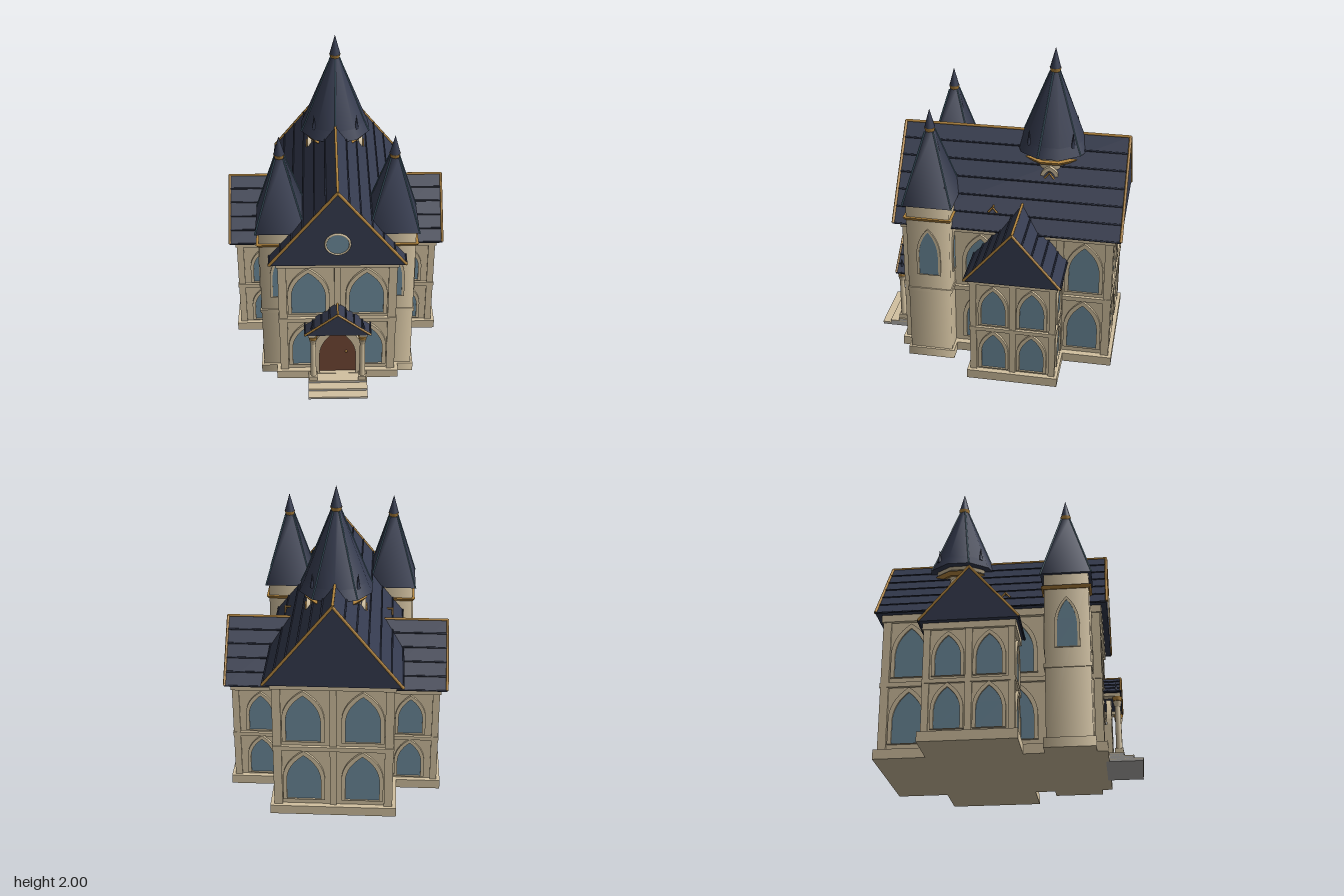
import * as THREE from 'three';

const paint = (name, color) => {
  const m = new THREE.MeshStandardMaterial({ color });
  m.name = name;
  return m;
};

export function createModel() {
  const stone = paint('cream stone', 0xd2c1a0);
  const slate = paint('slate roof', 0x353b4f);
  const rib = paint('dark slate rib', 0x252a3a);
  const gold = paint('gold trim', 0xb5873f);
  const glass = paint('window glass', 0x6c8a9b);
  const wood = paint('door wood', 0x6f4534);
  const grey = paint('step stone', 0xb4b2ae);
  const hipBlue = paint('hip lead', 0x55788a);

  const model = new THREE.Group();
  model.name = 'mansion';

  const add = (parent, name, geo, mat, x = 0, y = 0, z = 0) => {
    const m = new THREE.Mesh(geo, mat);
    m.name = name;
    m.position.set(x, y, z);
    parent.add(m);
    return m;
  };
  // Box given by its extents on each axis
  const block = (parent, name, mat, x0, x1, y0, y1, z0, z1) =>
    add(parent, name, new THREE.BoxGeometry(x1 - x0, y1 - y0, z1 - z0), mat,
      (x0 + x1) / 2, (y0 + y1) / 2, (z0 + z1) / 2);
  // Thin rod between two points
  const rod = (parent, name, mat, a, b, r) => {
    const A = new THREE.Vector3(...a), B = new THREE.Vector3(...b);
    const m = add(parent, name, new THREE.CylinderGeometry(r, r, A.distanceTo(B), 6), mat);
    m.position.copy(A).add(B).multiplyScalar(0.5);
    m.quaternion.setFromUnitVectors(new THREE.Vector3(0, 1, 0), B.sub(A).normalize());
    return m;
  };

  // Pointed arch outline standing on y = y0
  const trace = (s, a, h, y0 = 0) => {
    const spring = h * 0.45;
    s.moveTo(-a, y0);
    s.lineTo(a, y0);
    s.lineTo(a, spring);
    s.quadraticCurveTo(a * 0.95, h * 0.78, 0, h);
    s.quadraticCurveTo(-a * 0.95, h * 0.78, -a, spring);
    s.lineTo(-a, y0);
    return s;
  };
  const extrude = (s, depth) =>
    new THREE.ExtrudeGeometry(s, { depth, bevelEnabled: false, curveSegments: 8 });
  // Framed arched opening, facing outward along its local z
  const arch = (parent, name, w, h, x, y, z, turn = 0, fill = glass, border = 0.024, depth = 0.016) => {
    const g = new THREE.Group();
    g.name = name;
    const frame = trace(new THREE.Shape(), w / 2 + border, h + border * 1.3, -0.003);
    frame.holes.push(trace(new THREE.Path(), w / 2, h));
    add(g, 'archFrame', extrude(frame, depth), stone);
    add(g, 'archPanel', extrude(trace(new THREE.Shape(), w / 2, h), 0.005), fill);
    g.position.set(x, y, z);
    g.rotation.y = turn;
    parent.add(g);
    return g;
  };

  // Gabled roof with ridge along local z, ribs along both slopes and gold edges
  const gable = (name, half, rise, len, ribs, r, bothEnds) => {
    const g = new THREE.Group();
    g.name = name;
    const s = new THREE.Shape([[-half, 0], [half, 0], [0, rise]].map(p => new THREE.Vector2(...p)));
    add(g, 'roofBody', extrude(s, len), slate, 0, 0, -len / 2);
    const e = len / 2;
    rod(g, 'ridgeTrim', gold, [0, rise, -e], [0, rise, e], r);
    for (const side of [-1, 1]) {
      for (let i = 0; i < ribs; i++) {
        const t = i / ribs;
        const x = side * half * (1 - t), y = rise * t;
        rod(g, 'roofRib', rib, [x, y + 0.002, -e], [x, y + 0.002, e], 0.006);
      }
      for (const end of bothEnds ? [-e, e] : [e])
        rod(g, 'gableTrim', gold, [side * half, 0.004, end], [0, rise, end], r);
    }
    model.add(g);
    return g;
  };

  // Main hall: walls, plinth, bands and pilasters
  const hall = new THREE.Group();
  hall.name = 'mainHall';
  model.add(hall);
  block(hall, 'hallWalls', stone, -0.35, 0.35, 0, 0.94, -0.735, 0.565);
  block(hall, 'hallPlinth', stone, -0.39, 0.39, 0, 0.06, -0.77, 0.6);
  block(hall, 'hallBand', stone, -0.37, 0.37, 0.455, 0.485, -0.755, 0.585);
  block(hall, 'hallCornice', stone, -0.375, 0.375, 0.885, 0.94, -0.76, 0.59);
  for (const sx of [-1, 1])
    for (const z of [-0.725, -0.42, 0.555])
      block(hall, 'hallPilaster', stone, sx * 0.34 - 0.026, sx * 0.34 + 0.026, 0, 0.92, z - 0.025, z + 0.025);
  for (const z of [-0.735, 0.565])
    block(hall, 'centrePilaster', stone, -0.02, 0.02, 0, 0.92, z - 0.012, z + 0.012);
  for (const y of [0.1, 0.52]) {
    for (const sx of [-1, 1]) {
      arch(hall, 'frontWindow', 0.21, 0.32, sx * 0.18, y, 0.565);
      arch(hall, 'backWindow', 0.21, 0.32, sx * 0.18, y, -0.735, Math.PI);
      for (const z of [-0.574, 0.08])
        arch(hall, 'sideWindow', 0.19, 0.32, sx * 0.35, y, z, sx * Math.PI / 2);
    }
  }
  gable('mainRoof', 0.415, 0.52, 1.42, 6, 0.009, true).position.set(0, 0.93, -0.085);

  // Round gable window
  add(model, 'roundGlass', new THREE.CylinderGeometry(0.07, 0.07, 0.008, 24).rotateX(Math.PI / 2), glass, 0, 1.09, 0.628);
  add(model, 'roundFrame', new THREE.TorusGeometry(0.073, 0.007, 6, 28), stone, 0, 1.09, 0.63);

  // Side wings
  for (const sx of [-1, 1]) {
    const wing = new THREE.Group();
    wing.name = sx > 0 ? 'leftWing' : 'rightWing';
    wing.rotation.y = sx * Math.PI / 2;
    wing.position.z = -0.172;
    model.add(wing);
    // Local z runs outward from the hall
    block(wing, 'wingWalls', stone, -0.255, 0.255, 0, 0.74, 0.3, 0.635);
    block(wing, 'wingPlinth', stone, -0.285, 0.285, 0, 0.06, 0.3, 0.67);
    block(wing, 'wingBand', stone, -0.272, 0.272, 0.355, 0.38, 0.3, 0.652);
    block(wing, 'wingCornice', stone, -0.275, 0.275, 0.69, 0.74, 0.3, 0.655);
    for (const x of [-0.247, 0, 0.247])
      block(wing, 'wingPilaster', stone, x - 0.02, x + 0.02, 0, 0.72, 0.605, 0.648);
    for (const y of [0.08, 0.4]) {
      for (const k of [-1, 1]) {
        arch(wing, 'wingWindow', 0.15, 0.25, k * 0.12, y, 0.635, 0, glass, 0.02);
        arch(wing, 'wingEndWindow', 0.15, 0.25, k * 0.255, y, 0.47, k * Math.PI / 2, glass, 0.02);
      }
    }
    const roof = gable('wingRoof', 0.295, 0.345, 0.48, 5, 0.008, false);
    roof.rotation.y = sx * Math.PI / 2;
    roof.position.set(sx * 0.45, 0.73, -0.172);
    // Small gold crest on the main slope
    for (const k of [-1, 1])
      rod(model, 'roofCrest', gold, [sx * 0.345, 1.062, 0.005], [sx * 0.345, 1.028, 0.005 + k * 0.028], 0.006);
    rod(model, 'roofCrestStem', gold, [sx * 0.345, 1.058, 0.005], [sx * 0.31, 1.058, 0.005], 0.006);
  }

  // Four-sided, softly shaded tower section
  const square = (half0, half1, h) =>
    new THREE.CylinderGeometry(half1 * Math.SQRT2, half0 * Math.SQRT2, h, 4, 1, false, Math.PI / 4);

  // Collar and pointed cap on every spire
  const cap = (parent, y, r, h) => {
    add(parent, 'spireCollar', new THREE.CylinderGeometry(r, r * 0.8, 0.025, 12), gold, 0, y, 0);
    add(parent, 'spireTip', new THREE.ConeGeometry(r * 0.95, h, 12), slate, 0, y + 0.0125 + h / 2, 0);
  };

  // Front towers
  for (const sx of [-1, 1]) {
    const t = new THREE.Group();
    t.name = sx > 0 ? 'leftTower' : 'rightTower';
    t.position.set(sx * 0.34, 0, 0.387);
    model.add(t);
    const tier = (name, mat, a, b, y0, y1) =>
      add(t, name, square(a, b, y1 - y0), mat, 0, (y0 + y1) / 2, 0);
    tier('towerBody', stone, 0.135, 0.135, 0, 1.1);
    tier('towerPlinth', stone, 0.15, 0.15, 0, 0.06);
    tier('towerBand', stone, 0.142, 0.142, 0.49, 0.515);
    tier('towerGoldBand', gold, 0.14, 0.152, 1.0, 1.02);
    tier('towerRoof', slate, 0.155, 0.026, 1.1, 1.55);
    for (const [dx, dz, turn] of [[0, 1, 0], [0, -1, Math.PI], [sx, 0, sx * Math.PI / 2]])
      arch(t, 'towerWindow', 0.12, 0.305, dx * 0.135, 0.62, dz * 0.135, turn, glass, 0.016, 0.01);
    for (const i of [-1, 1])
      for (const k of [-1, 1]) {
        rod(t, 'towerHip', hipBlue, [i * 0.155, 1.1, k * 0.155], [i * 0.026, 1.55, k * 0.026], 0.005);
        add(t, 'hipSpike', new THREE.ConeGeometry(0.013, 0.12, 8), slate, i * 0.118, 1.18, k * 0.108);
      }
    cap(t, 1.56, 0.034, 0.118);
  }

  // Great spire over the ridge
  const spire = new THREE.Group();
  spire.name = 'greatSpire';
  spire.position.z = -0.32;
  model.add(spire);
  const ring = (name, mat, r0, r1, y0, y1) =>
    add(spire, name, new THREE.CylinderGeometry(r1, r0, y1 - y0, 10), mat, 0, (y0 + y1) / 2, 0);
  ring('spireDrum', stone, 0.15, 0.165, 1.15, 1.36);
  ring('spireGoldBand', gold, 0.175, 0.195, 1.295, 1.318);
  ring('spireUpperBand', stone, 0.175, 0.185, 1.335, 1.36);
  ring('spireEave', slate, 0.23, 0.2, 1.355, 1.42);
  ring('spireRoof', slate, 0.2, 0.03, 1.42, 1.85);
  for (let i = 0; i < 5; i++) {
    const a = i * Math.PI * 0.4, s = Math.sin(a), c = Math.cos(a);
    rod(spire, 'spireHip', hipBlue, [s * 0.23, 1.358, c * 0.23], [s * 0.2, 1.42, c * 0.2], 0.005);
    rod(spire, 'spireHip', hipBlue, [s * 0.2, 1.42, c * 0.2], [s * 0.03, 1.85, c * 0.03], 0.005);
  }
  for (const i of [-1, 1]) {
    for (const k of [-1, 1])
      add(spire, 'spireSpike', new THREE.ConeGeometry(0.013, 0.1, 8), slate, i * 0.136, 1.46, k * 0.136);
    // Small arched opening low on each side of the drum
    arch(spire, 'spireWindow', 0.07, 0.08, i * 0.155, 1.18, 0, i * Math.PI / 2, glass, 0.02, 0.025);
    for (const k of [-1, 1])
      rod(spire, 'spireWindowTrim', gold, [i * 0.185, 1.25, 0], [i * 0.185, 1.19, k * 0.045], 0.006);
  }
  cap(spire, 1.86, 0.036, 0.128);

  // Porch: roof, columns, door and steps
  gable('porchRoof', 0.205, 0.165, 0.14, 4, 0.007, false).position.set(0, 0.43, 0.615);
  arch(model, 'frontDoor', 0.23, 0.355, 0, 0.06, 0.592, 0, wood, 0.045, 0.03);
  block(model, 'doorBacking', stone, -0.16, 0.16, 0.03, 0.24, 0.56, 0.592);
  add(model, 'doorKnob', new THREE.SphereGeometry(0.008, 10, 8), gold, 0.055, 0.225, 0.6);
  for (const sx of [-1, 1]) {
    const col = new THREE.Group();
    col.name = 'porchColumn';
    col.position.set(sx * 0.155, 0, 0.66);
    model.add(col);
    add(col, 'columnShaft', new THREE.CylinderGeometry(0.016, 0.019, 0.34, 12), stone, 0, 0.23, 0);
    add(col, 'columnBase', new THREE.BoxGeometry(0.05, 0.03, 0.05), stone, 0, 0.07, 0);
    add(col, 'columnNeck', new THREE.CylinderGeometry(0.026, 0.017, 0.035, 12), stone, 0, 0.365, 0);
    add(col, 'columnCapital', new THREE.CylinderGeometry(0.029, 0.024, 0.025, 12), gold, 0, 0.398, 0);
    block(model, 'porchBeam', stone, sx * 0.16 - 0.025, sx * 0.16 + 0.025, 0.41, 0.432, 0.56, 0.68);
    add(model, 'porchSpike', new THREE.ConeGeometry(0.012, 0.07, 8), slate, sx * 0.16, 0.48, 0.655);
  }
  for (let i = 0; i < 3; i++) {
    const top = 0.055 - i * 0.018, front = 0.69 + i * 0.055;
    block(model, 'step', grey, -0.188, 0.188, 0, top - 0.006, 0.58, front - 0.003);
    block(model, 'stepTread', stone, -0.188, 0.188, top - 0.006, top, 0.58, front);
  }
  return model;
}
